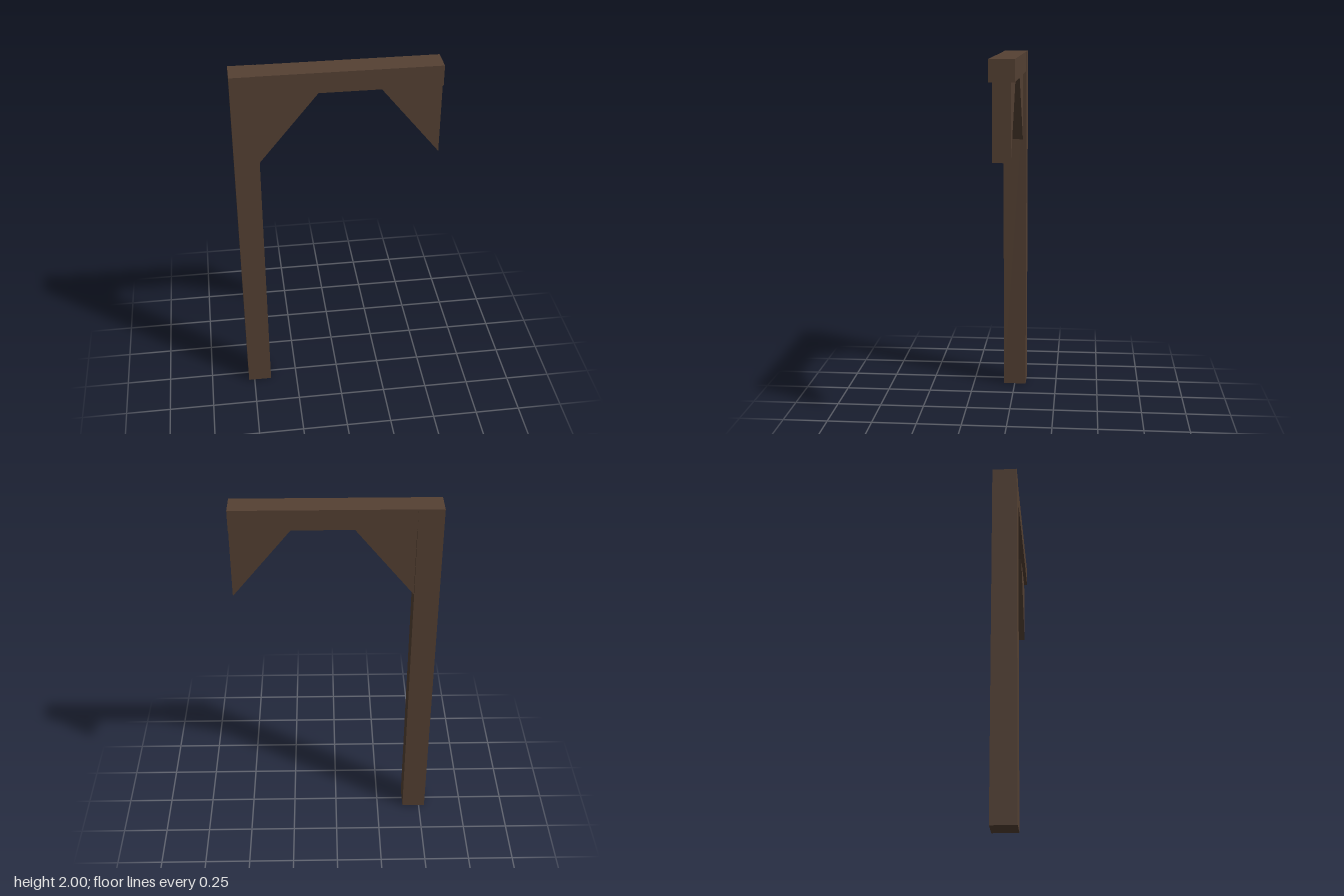
import * as THREE from 'three';

export function createModel() {
  const group = new THREE.Group();
  const wood = new THREE.MeshStandardMaterial({ color: 0x554133 });
  wood.name = 'dark wood';

  const left = -0.533, right = 0.533, postEdge = -0.402, beamBottom = 1.89;

  function add(name, geometry, x = 0, y = 0) {
    const mesh = new THREE.Mesh(geometry, wood);
    mesh.name = name;
    mesh.position.set(x, y, 0);
    group.add(mesh);
  }

  // Upright post, slightly deeper than the beam
  add('post', new THREE.BoxGeometry(postEdge - left, 2, 0.133), (left + postEdge) / 2, 1);

  // Horizontal beam butted against the post
  add('beam', new THREE.BoxGeometry(right - postEdge, 2 - beamBottom, 0.129),
    (postEdge + right) / 2, (2 + beamBottom) / 2);

  // Triangular corner brace, running from its upright edge towards dir
  function brace(name, x, dir) {
    const shape = new THREE.Shape([
      new THREE.Vector2(0, 0),
      new THREE.Vector2(0, -0.39),
      new THREE.Vector2(dir * 0.316, 0),
    ]);
    const geometry = new THREE.ExtrudeGeometry(shape, { depth: 0.092, bevelEnabled: false });
    geometry.translate(0, 0, -0.046);
    add(name, geometry, x, beamBottom);
  }
  brace('postBrace', postEdge, 1);
  brace('endBrace', right, -1);

  return group;
}
